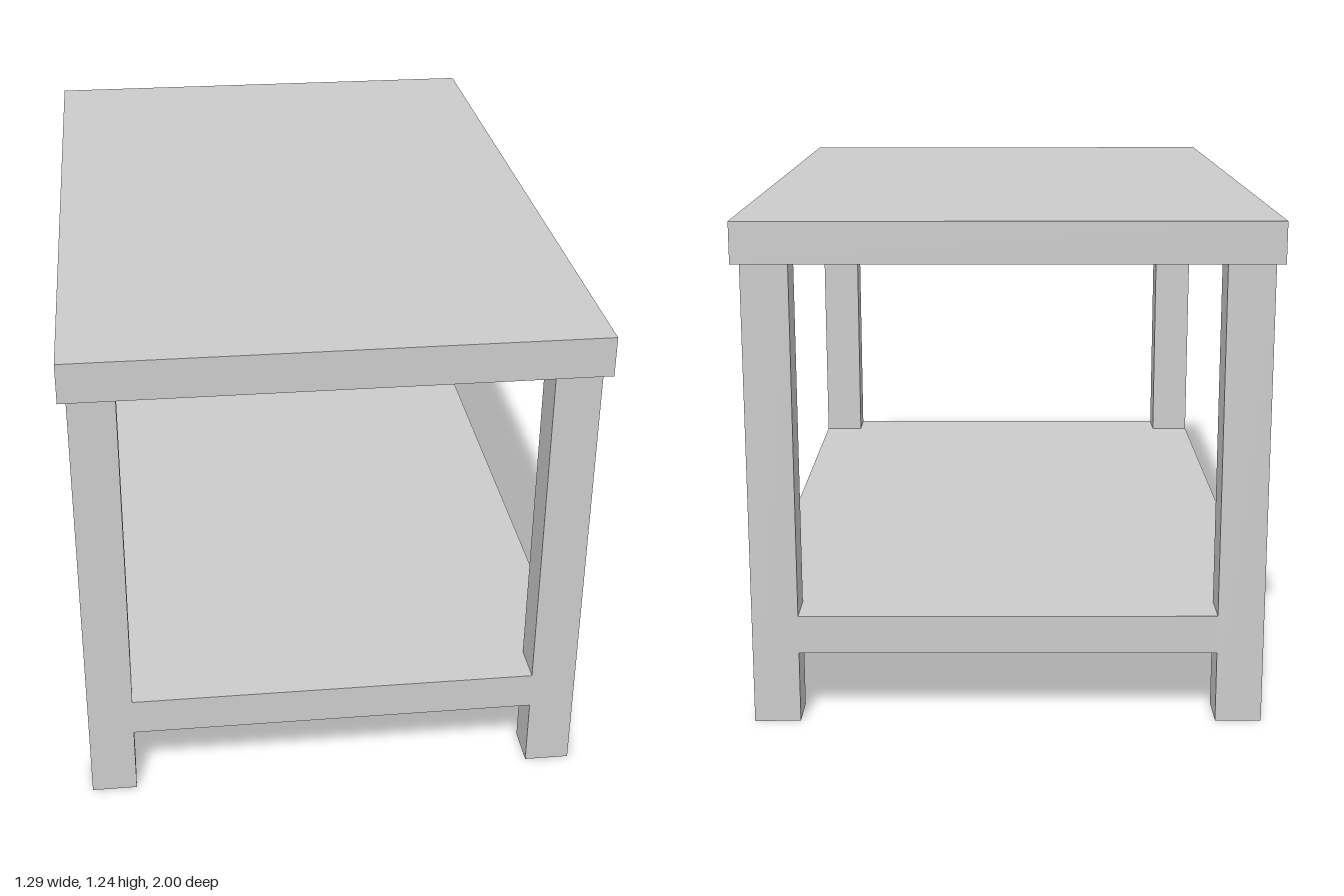
import * as THREE from 'three';

export function createModel() {
  const group = new THREE.Group();
  group.name = 'table';
  const material = new THREE.MeshStandardMaterial({ color: 0xcccccc, flatShading: true });

  const add = (name, geometry, x, y, z) => {
    const mesh = new THREE.Mesh(geometry, material);
    mesh.name = name;
    mesh.position.set(x, y, z);
    group.add(mesh);
  };

  const topY = 1.242, topThickness = 0.1;
  const legHeight = topY - topThickness;
  const outX = 0.625, outZ = 0.978; // outer faces of the legs
  const legX = 0.113, legZ = 0.104; // leg section
  const shelfBottom = 0.178, shelfThickness = 0.095;

  // Table top, slightly overhanging the legs
  add('tableTop', new THREE.BoxGeometry(1.288, topThickness, 2), 0, topY - topThickness / 2, 0);

  // Four square legs
  const legGeometry = new THREE.BoxGeometry(legX, legHeight, legZ);
  for (const [sx, xName] of [[1, 'Left'], [-1, 'Right']]) {
    for (const [sz, zName] of [[1, 'front'], [-1, 'back']]) {
      add(zName + xName + 'Leg', legGeometry,
        sx * (outX - legX / 2), legHeight / 2, sz * (outZ - legZ / 2));
    }
  }

  // Lower shelf, flush with the legs and notched around them at the corners
  const inX = outX - legX, inZ = outZ - legZ;
  const outline = [];
  for (const [sx, sz] of [[1, 1], [-1, 1], [-1, -1], [1, -1]]) {
    const corner = [[outX, inZ], [inX, inZ], [inX, outZ]];
    if (sx * sz < 0) corner.reverse();
    for (const [x, z] of corner) outline.push(new THREE.Vector2(sx * x, sz * z));
  }
  const shelf = new THREE.ExtrudeGeometry(new THREE.Shape(outline),
    { depth: shelfThickness, bevelEnabled: false });
  shelf.rotateX(-Math.PI / 2);
  add('lowerShelf', shelf, 0, shelfBottom, 0);

  return group;
}
